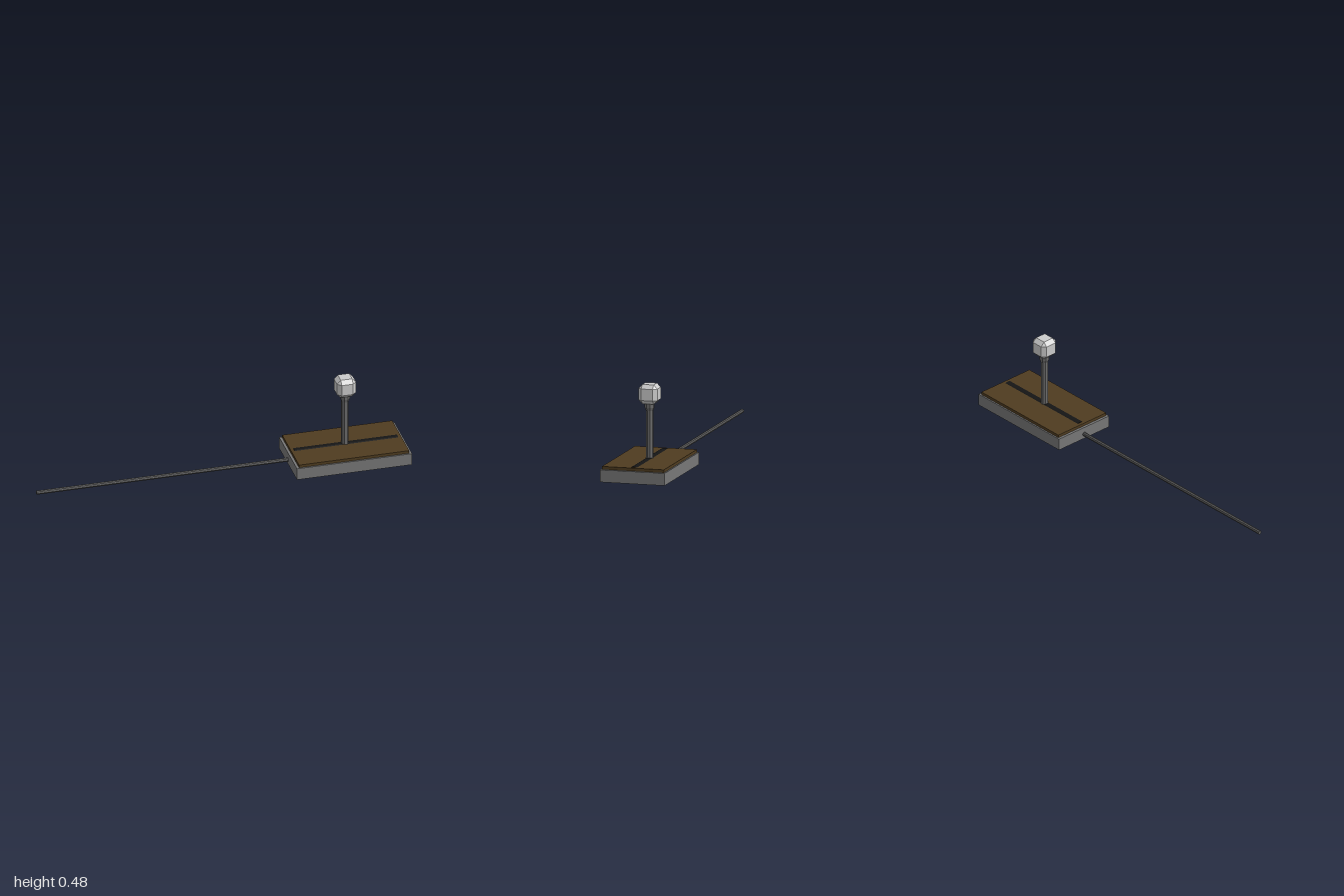
import * as THREE from 'three';
import { ConvexGeometry } from 'three/addons/geometries/ConvexGeometry.js';

const LEVER_X = 0.682;

function add(group, name, geometry, color, x, y, z = 0) {
  const material = new THREE.MeshStandardMaterial({ color, flatShading: true });
  const mesh = new THREE.Mesh(geometry, material);
  mesh.name = name;
  mesh.position.set(x, y, z);
  group.add(mesh);
  return mesh;
}

// Upright prism with flat sides facing the axes
function prism(topRadius, bottomRadius, height) {
  return new THREE.CylinderGeometry(topRadius, bottomRadius, height, 8).rotateY(Math.PI / 8);
}

// Cube with bevelled edges and corners
function bevelledCube(half, inner) {
  const points = [];
  for (const sx of [-1, 1]) for (const sy of [-1, 1]) for (const sz of [-1, 1]) {
    points.push(
      new THREE.Vector3(sx * half, sy * inner, sz * inner),
      new THREE.Vector3(sx * inner, sy * half, sz * inner),
      new THREE.Vector3(sx * inner, sy * inner, sz * half));
  }
  return new ConvexGeometry(points);
}

export function createModel() {
  const model = new THREE.Group();
  model.name = 'leverControl';

  // Housing and its cover plate
  add(model, 'base', new THREE.BoxGeometry(0.628, 0.066, 0.356), 0x777777, 0.686, 0.033);
  add(model, 'coverPlate', new THREE.BoxGeometry(0.6, 0.018, 0.34), 0x4f3c20, 0.686, 0.073);

  // Dark slot strip, slightly proud of the plate, with a faceted crown
  const strip = new THREE.CylinderGeometry(0.024, 0.024, 0.565, 8)
    .rotateZ(Math.PI / 2).rotateX(Math.PI / 8).scale(1, 0.3, 1);
  add(model, 'slot', strip, 0x151515, 0.686, 0.0775);

  // Lever: shaft, flared collar and knob
  const lever = new THREE.Group();
  lever.name = 'lever';
  lever.position.x = LEVER_X;
  model.add(lever);
  add(lever, 'shaft', prism(0.02, 0.02, 0.265), 0x6c6c6c, 0, 0.2075);
  add(lever, 'collarFlare', prism(0.026, 0.02, 0.018), 0x6c6c6c, 0, 0.344);
  add(lever, 'collar', prism(0.026, 0.026, 0.026), 0x6c6c6c, 0, 0.366);
  add(lever, 'knob', bevelledCube(0.052, 0.031), 0xcccccc, 0, 0.427);

  // Long rod leaving the end of the housing
  const rod = new THREE.CylinderGeometry(0.011, 0.011, 1.38, 8).rotateZ(Math.PI / 2);
  add(model, 'rod', rod, 0x5a5a5a, -0.31, 0.027);

  return model;
}
